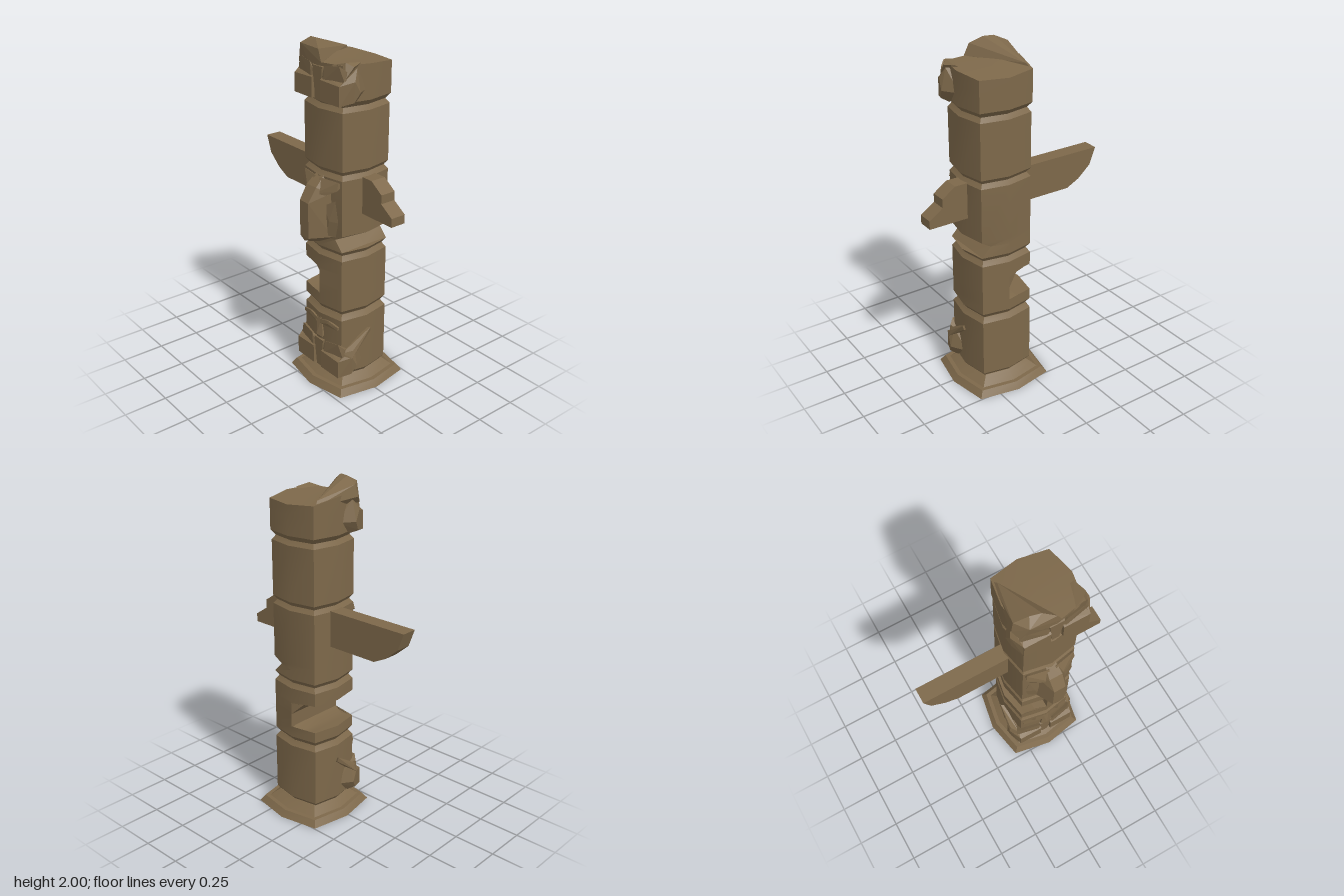
import * as THREE from 'three';
import { toCreasedNormals } from 'three/addons/utils/BufferGeometryUtils.js';
import { ConvexGeometry } from 'three/addons/geometries/ConvexGeometry.js';

const wood = new THREE.MeshStandardMaterial({ color: 0x7d684a });
wood.name = 'weathered wood';

// bulged square section, half width 1
const C = 0.84;
const OUTLINE = [[1, 0], [C, C], [0, 1], [-C, C], [-1, 0], [-C, -C], [0, -1], [C, -C]];

// half depth of the section at x
function depthAt(x, s) {
  const u = Math.min(Math.abs(x) / s, 1);
  return s * (u < C ? 1 - (1 - C) * u / C : C * (1 - u) / (1 - C));
}

// stacked sections: y (number or one height per corner), s half width, lo/hi cut the section in x
function loft(rows) {
  const rings = rows.map(({ y, s, lo = -9, hi = 9 }) => OUTLINE.map(([px, pz], i) => {
    let x = px * s, z = pz * s;
    const cut = THREE.MathUtils.clamp(x, lo, hi);
    if (cut !== x) {
      const d = depthAt(cut, s);
      x = cut;
      z = THREE.MathUtils.clamp(z, -d, d);
    }
    return [x, Array.isArray(y) ? y[i] : y, z];
  }));
  const mid = (ring) => [0, 1, 2].map((k) => ring.reduce((t, p) => t + p[k], 0) / ring.length);
  const pos = [];
  const tri = (...pts) => pts.forEach((p) => pos.push(...p));
  const first = rings[0], last = rings[rings.length - 1];
  for (let i = 0; i < 8; i++) {
    const j = (i + 1) % 8;
    for (let r = 0; r + 1 < rings.length; r++) {
      const a = rings[r], b = rings[r + 1];
      tri(a[i], b[i], a[j]);
      tri(a[j], b[i], b[j]);
    }
    tri(mid(first), first[i], first[j]);
    tri(mid(last), last[j], last[i]);
  }
  const geo = new THREE.BufferGeometry();
  geo.setAttribute('position', new THREE.Float32BufferAttribute(pos, 3));
  return toCreasedNormals(geo, 0.5);
}

function add(parent, name, geo) {
  const mesh = new THREE.Mesh(geo, wood);
  mesh.name = name;
  parent.add(mesh);
  return mesh;
}

const hull = (pts, side = 1) =>
  new ConvexGeometry(pts.map(([x, y, z]) => new THREE.Vector3(x * side, y, z)));

// drum with chamfered rims, extra rows in between
const drum = (y0, y1, s, rows = []) => loft([
  { y: y0 - 0.01, s: s - 0.022 }, { y: y0, s: s - 0.016 }, { y: y0 + 0.02, s },
  ...rows,
  { y: y1 - 0.02, s }, { y: y1, s: s - 0.016 }, { y: y1 + 0.01, s: s - 0.022 },
]);

// crouching figure: paws, arms, and the lower part of the face
function addPaws(parent, y) {
  for (const side of [-1, 1]) {
    add(parent, 'paw', hull([
      [0.035, y + 0.015, 0.207], [0.035, y + 0.125, 0.207],
      [0.185, y + 0.015, 0.205], [0.185, y + 0.12, 0.205],
      [0.035, y + 0.01, 0.15], [0.035, y + 0.15, 0.17],
      [0.18, y + 0.01, 0.14], [0.19, y + 0.14, 0.16],
    ], side));
    add(parent, 'arm', hull([
      [0.185, y + 0.015, 0.2], [0.185, y + 0.12, 0.2],
      [0.215, y + 0.03, 0.13], [0.228, y + 0.08, 0.1], [0.222, y + 0.14, 0.13],
      [0.2, y + 0.2, 0.1], [0.18, y + 0.01, 0.1], [0.17, y + 0.08, 0.01],
      [0.15, y + 0.2, 0.08], [0.15, y + 0.12, 0.17],
    ], side));
    add(parent, 'cheek', hull([
      [0.03, y + 0.14, 0.19], [0.06, y + 0.2, 0.198], [0.16, y + 0.215, 0.185],
      [0.19, y + 0.19, 0.16], [0.195, y + 0.12, 0.17], [0.05, y + 0.12, 0.2],
      [0.04, y + 0.16, 0.14], [0.16, y + 0.16, 0.1],
    ], side));
  }
  add(parent, 'chin', hull([
    [-0.02, y + 0.01, 0.195], [0.02, y + 0.01, 0.195], [-0.04, y + 0.19, 0.198],
    [0.04, y + 0.19, 0.198], [-0.05, y + 0.2, 0.16], [0.05, y + 0.2, 0.16], [0, y, 0.15],
  ]));
}

export function createModel() {
  const model = new THREE.Group();
  model.name = 'totemPole';
  const pole = new THREE.Group();
  pole.name = 'pole';
  pole.position.set(0.137, 0, -0.002);
  model.add(pole);

  // stepped base, hollow underneath
  const base = add(pole, 'base', loft([
    { y: 0.06, s: 0.17 }, { y: 0.03, s: 0.21 }, { y: 0, s: 0.235 }, { y: 0, s: 0.278 },
    { y: 0.037, s: 0.25 }, { y: 0.037, s: 0.225 }, { y: 0.065, s: 0.19 }, { y: 0.08, s: 0.17 },
  ]));
  base.position.z = -0.01;

  // lowest figure
  const lower = new THREE.Group();
  lower.name = 'lowerFigure';
  pole.add(lower);
  add(lower, 'lowerBody', drum(0.08, 0.465, 0.192));
  addPaws(lower, 0.085);
  add(lower, 'nose', hull([
    [-0.02, 0.42, 0.19], [0.02, 0.42, 0.19], [-0.04, 0.3, 0.2], [0.04, 0.3, 0.2],
    [0, 0.31, 0.212], [0, 0.285, 0.2], [-0.03, 0.33, 0.16], [0.03, 0.33, 0.16],
  ]));
  for (const side of [-1, 1]) {
    add(lower, 'brow', hull([
      [0.015, 0.41, 0.198], [0.08, 0.425, 0.194], [0.15, 0.405, 0.18], [0.15, 0.385, 0.18],
      [0.08, 0.405, 0.196], [0.015, 0.385, 0.2], [0.03, 0.4, 0.15], [0.14, 0.395, 0.14],
    ], side));
    add(lower, 'horn', hull([
      [0.19, 0.22, 0.17], [0.225, 0.225, 0.13], [0.215, 0.265, 0.12], [0.18, 0.25, 0.17],
      [0.185, 0.36, 0.0], [0.21, 0.37, -0.015], [0.205, 0.345, -0.02], [0.18, 0.33, -0.01],
      [0.17, 0.24, 0.1],
    ], side));
  }

  // drum with a bite broken out of one side
  add(pole, 'brokenDrum', drum(0.485, 0.835, 0.19, [
    { y: 0.57, s: 0.19 }, { y: 0.565, s: 0.19, lo: -0.13 }, { y: 0.555, s: 0.19, lo: -0.07 },
    { y: 0.57, s: 0.19, lo: 0 }, { y: 0.65, s: 0.19, lo: 0 }, { y: 0.72, s: 0.19, lo: -0.07 },
    { y: 0.733, s: 0.19, lo: -0.13 }, { y: 0.737, s: 0.19 },
  ]));

  // winged figure, chipped at one lower corner
  const bird = new THREE.Group();
  bird.name = 'wingedFigure';
  pole.add(bird);
  add(bird, 'birdBody', drum(0.85, 1.305, 0.19, [
    { y: 0.872, s: 0.19, hi: 0.158 }, { y: 0.93, s: 0.19, hi: 0.103 }, { y: 0.965, s: 0.19 },
  ]));
  const beak = [[0, 0.885, 0.165], [0, 0.925, 0.288]];
  for (const s of [-1, 1]) {
    beak.push([0.03 * s, 1.295, 0.175], [0.04 * s, 1.235, 0.24], [0.036 * s, 1.155, 0.291],
      [0.036 * s, 0.95, 0.291], [0.1 * s, 0.95, 0.175], [0.085 * s, 1.2, 0.175]);
  }
  add(bird, 'beak', hull(beak));
  for (const side of [-1, 1]) {
    add(bird, 'birdBrow', hull([
      [0.02, 1.28, 0.2], [0.03, 1.2, 0.24], [0.09, 1.2, 0.215], [0.15, 1.235, 0.185],
      [0.145, 1.28, 0.175], [0.05, 1.19, 0.2], [0.14, 1.25, 0.14], [0.02, 1.25, 0.15],
    ], side));
    add(bird, 'birdCheek', hull([
      [0.06, 1.13, 0.205], [0.13, 1.17, 0.182], [0.15, 1.05, 0.178], [0.13, 0.96, 0.178],
      [0.08, 0.96, 0.2], [0.1, 1.05, 0.2], [0.1, 1.05, 0.14],
    ], side));
  }

  // wings: one whole, one snapped off
  const wing = (name, pts) => {
    const shape = new THREE.Shape(pts.map(([x, y]) => new THREE.Vector2(x - 0.137, y)));
    const geo = new THREE.ExtrudeGeometry(shape, { depth: 0.092, bevelEnabled: false });
    add(bird, name, geo.translate(0, 0, -0.053));
  };
  wing('wholeWing', [[0, 1.08], [0, 1.29], [-0.557, 1.29], [-0.52, 1.19], [-0.44, 1.12], [-0.36, 1.08]]);
  wing('brokenWing', [[0.27, 1.08], [0.553, 1.08], [0.553, 1.13], [0.47, 1.185], [0.47, 1.235],
    [0.39, 1.29], [0.27, 1.29]]);

  // plain drum
  add(pole, 'upperDrum', drum(1.315, 1.675, 0.19));

  // top figure with its crown broken away
  const head = new THREE.Group();
  head.name = 'topFigure';
  pole.add(head);
  add(head, 'headBody', loft([
    { y: 1.68, s: 0.17 }, { y: 1.69, s: 0.178 }, { y: 1.71, s: 0.195 }, { y: 1.82, s: 0.195 },
    { y: [1.9, 1.905, 1.9, 1.92, 1.92, 1.89, 1.88, 1.885], s: 0.195 },
  ]));
  addPaws(head, 1.69);
  add(head, 'splinteredCrown', hull([
    [-0.165, 1.88, -0.15], [-0.15, 1.91, -0.12], [-0.2, 1.965, 0.12], [-0.215, 1.9, 0.13],
    [-0.19, 1.86, 0.17], [-0.125, 2.0, 0.14], [-0.065, 2.0, 0.155], [-0.03, 1.965, 0.18],
    [0, 1.965, 0.19], [0.03, 1.9, 0.195], [-0.15, 1.97, 0.19], [-0.06, 1.86, 0.19],
  ]));
  add(head, 'crownStub', hull([
    [0.1, 1.9, 0.18], [0.17, 1.92, 0.15], [0.2, 1.9, 0.12], [0.175, 1.91, 0.05],
    [0.19, 1.84, 0.17], [0.06, 1.86, 0.19], [0.1, 1.88, 0.05],
  ]));
  return model;
}
